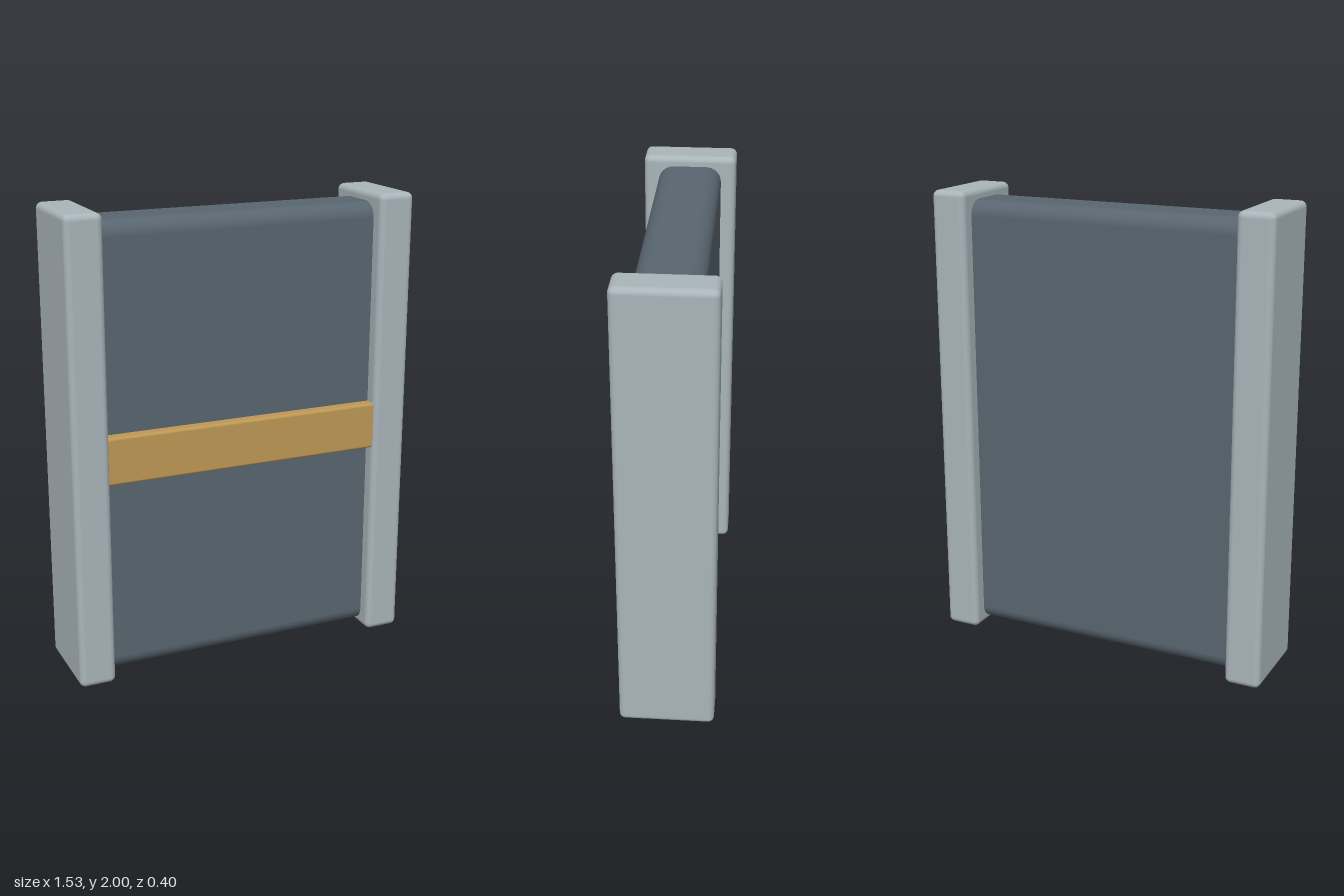
import * as THREE from 'three';
import { RoundedBoxGeometry } from 'three/addons/geometries/RoundedBoxGeometry.js';

const material = (name, color) => {
  const m = new THREE.MeshStandardMaterial({ color });
  m.name = name;
  return m;
};

// Rounded block given by its size, corner radius and centre
function block(name, [w, h, d], radius, [x, y, z], mat) {
  const mesh = new THREE.Mesh(new RoundedBoxGeometry(w, h, d, 4, radius), mat);
  mesh.name = name;
  mesh.position.set(x, y, z);
  return mesh;
}

export function createModel() {
  const paleGrey = material('pale grey', 0xa9b5ba);
  const slate = material('slate', 0x58656f);
  const ochre = material('ochre', 0xbd9855);

  const model = new THREE.Group();
  model.name = 'panel';

  // Upright posts at both sides
  for (const [side, s] of [['left', 1], ['right', -1]]) {
    model.add(block(side + 'Post', [0.157, 2, 0.4], 0.026, [s * 0.6865, 1, 0], paleGrey));
  }

  // Core slab, its ends buried in the posts
  model.add(block('coreSlab', [1.36, 1.938, 0.272], 0.065, [0, 0.989, 0], slate));

  // Cross band on the front, sunk into the slab
  model.add(block('frontBand', [1.25, 0.204, 0.075], 0.012, [0, 0.987, 0.148], ochre));

  return model;
}
